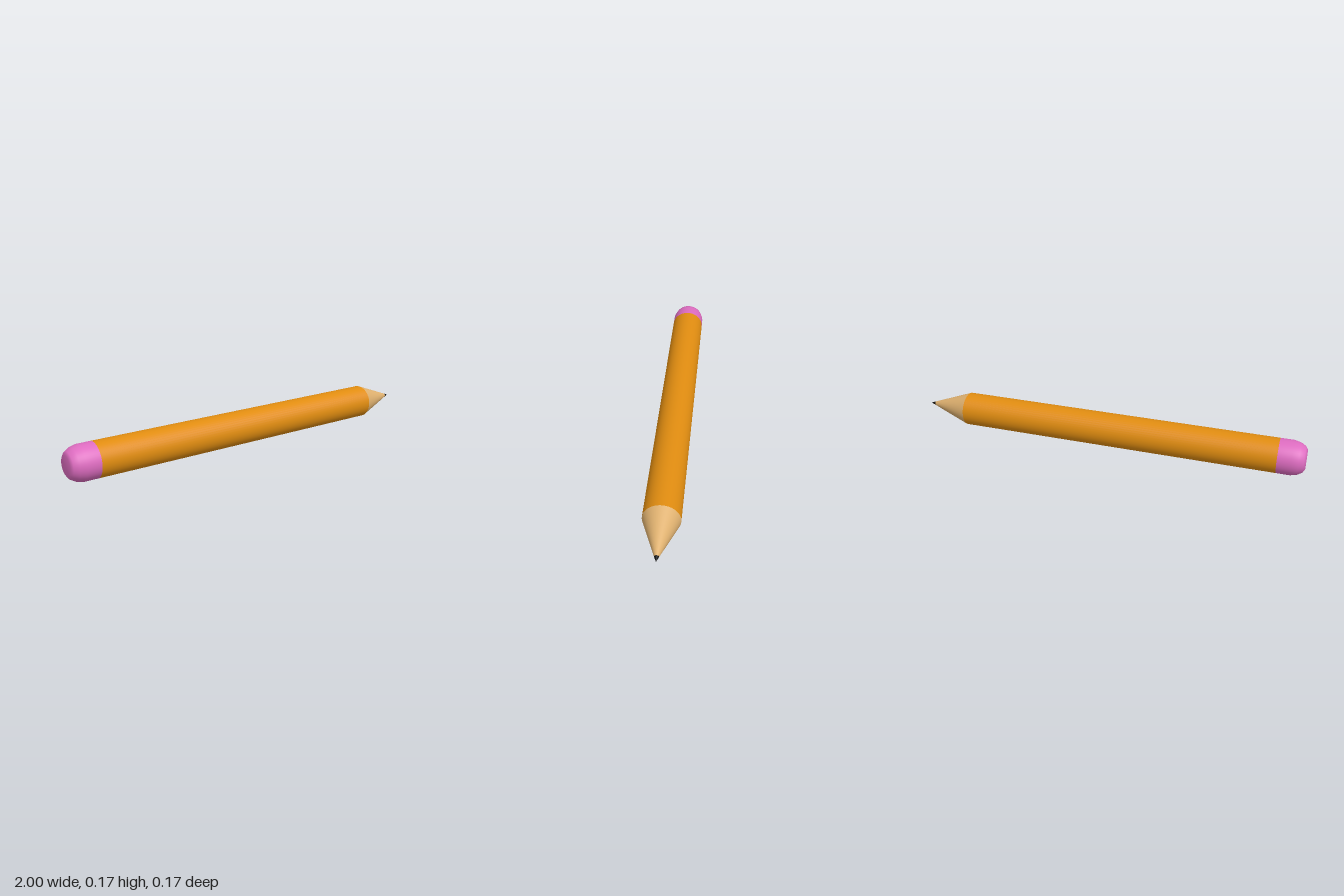
import * as THREE from 'three';

const RADIUS = 0.085;
const SEGMENTS = 48;

// Turns a profile of [position along the pencil, radius] about the long axis
function turned(name, color, profile) {
  const points = profile.map(([x, r]) => new THREE.Vector2(r, x));
  const mesh = new THREE.Mesh(
    new THREE.LatheGeometry(points, SEGMENTS),
    new THREE.MeshStandardMaterial({ color })
  );
  mesh.name = name;
  return mesh;
}

export function createModel() {
  const pencil = new THREE.Group();
  pencil.name = 'pencil';

  // Rounded eraser: flat end, soft shoulder, straight side
  pencil.add(turned('eraser', 0xdd6cc0, [
    [-1, 0], [-1, 0.048], [-0.99, 0.063], [-0.967, 0.077], [-0.935, RADIUS], [-0.868, RADIUS],
  ]));

  // Painted barrel
  pencil.add(turned('barrel', 0xe08c10, [[-0.868, RADIUS], [0.765, RADIUS]]));

  // Sharpened wood, then the lead continuing the same cone
  pencil.add(turned('sharpenedWood', 0xdeb06f, [[0.765, RADIUS], [0.973, 0.01]]));
  pencil.add(turned('leadTip', 0x111111, [[0.973, 0.01], [1, 0]]));

  // Lay the pencil along x, resting on the ground
  pencil.rotation.z = -Math.PI / 2;
  pencil.position.y = RADIUS;

  const model = new THREE.Group();
  model.name = 'pencilModel';
  model.add(pencil);
  return model;
}
